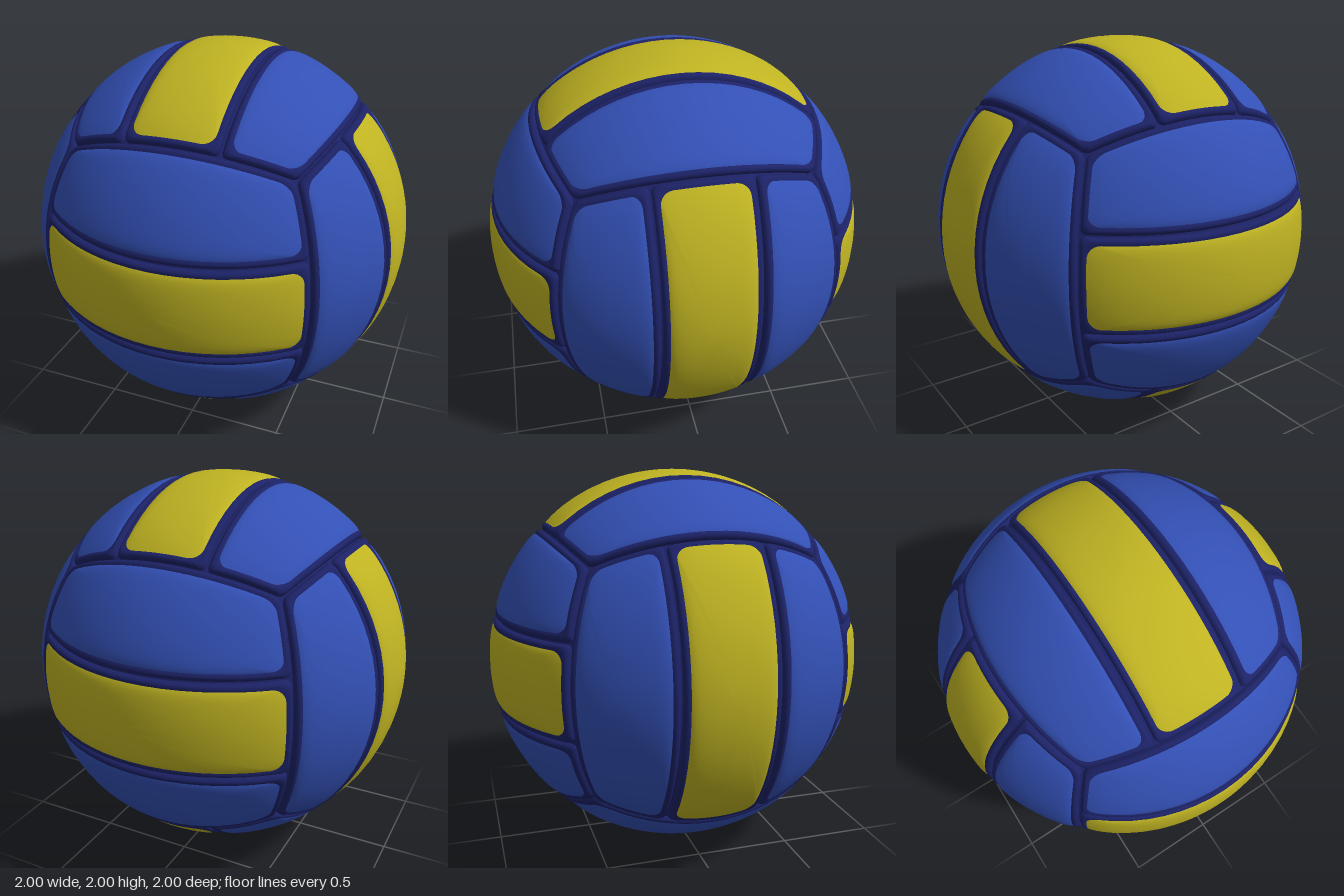
import * as THREE from 'three';

const SEAM = Math.asin(0.245); // latitude of the seams inside a face
const material = (color) => new THREE.MeshStandardMaterial({ color, roughness: 0.7 });

// Rounded rectangle outline, normalised to -1..1, counter-clockwise
function outline(w, h, r) {
  const x = w / 2 - r, y = h / 2 - r, arc = 6, pts = [];
  const corners = [[x, y, 16], [-x, y, 8], [-x, -y, 16], [x, -y, 8]];
  corners.forEach(([cx, cy, side], k) => {
    const at = (i, px, py, q) => {
      const t = (q + i / arc) * Math.PI / 2;
      return new THREE.Vector2(px + r * Math.cos(t), py + r * Math.sin(t));
    };
    for (let i = 0; i <= arc; i++) pts.push(at(i, cx, cy, k));
    const [nx, ny] = corners[(k + 1) % 4];
    const a = at(arc, cx, cy, k), b = at(0, nx, ny, (k + 1) % 4);
    for (let i = 1; i < side; i++) pts.push(a.clone().lerp(b, i / side));
  });
  return pts.map((p) => p.set(p.x * 2 / w, p.y * 2 / h));
}

// Latitude range of a strip (-1, 0, 1) at longitude a; outer strips end on the cube edge
function limits(strip, a) {
  const edge = Math.atan(Math.cos(a));
  if (strip === 0) return [-SEAM, SEAM];
  return strip > 0 ? [SEAM, edge] : [-edge, -SEAM];
}

// Surface through rings given as [inset, scale, radius], lying on the sphere
function panelGeometry(strip, rings) {
  const pos = [], index = [];
  let n = 0;
  rings.forEach(([inset, scale, radius], j) => {
    const pts = outline(1.48 - 2 * inset, 0.48 - 2 * inset, 0.025 + inset * 0.9);
    n = pts.length;
    pts.forEach((p, i) => {
      const s = p.x * scale, t = p.y * scale;
      let a = s * Math.PI / 4, lat = 0;
      for (let pass = 0; pass < 2; pass++) {
        const [lo, hi] = limits(strip, a);
        lat = lo + inset + (t + 1) / 2 * (hi - lo - 2 * inset);
        a = s * (Math.PI / 4 - inset / Math.cos(lat));
      }
      pos.push(radius * Math.cos(lat) * Math.sin(a), radius * Math.sin(lat),
        radius * Math.cos(lat) * Math.cos(a));
      if (j === 0) return;
      const k = (i + 1) % n, p0 = (j - 1) * n, p1 = j * n;
      if (rings[j - 1][1] > 0) index.push(p0 + i, p1 + i, p0 + k);
      index.push(p1 + i, p1 + k, p0 + k);
    });
  });
  const g = new THREE.BufferGeometry();
  g.setAttribute('position', new THREE.Float32BufferAttribute(pos, 3));
  g.setIndex(index);
  g.computeVertexNormals();
  // The middle points coincide, so they share the radial direction
  if (rings[0][1] === 0) {
    const d = new THREE.Vector3(pos[0], pos[1], pos[2]).normalize();
    for (let i = 0; i < n; i++) g.attributes.normal.setXYZ(i, d.x, d.y, d.z);
  }
  return g;
}

export function createModel() {
  const model = new THREE.Group();
  model.name = 'ball';
  const blue = material(0x3350b5), yellow = material(0xbfb322), navy = material(0x1c2266);

  // Inner ball, seen at the bottom of the seams
  const core = new THREE.Mesh(new THREE.SphereGeometry(0.968, 64, 48), navy);
  core.name = 'core';
  core.position.y = 1;
  model.add(core);

  // Slightly domed panel and the rolled border around it
  const INSET = 0.04;
  const dome = [0, 0.12, 0.25, 0.38, 0.5, 0.62, 0.73, 0.82, 0.89, 0.94, 0.98, 1]
    .map((f) => [INSET, f, 1 - 0.009 * f ** 10]);
  const roll = [[0.04, 0.991], [0.034, 0.993], [0.026, 0.995], [0.018, 0.993],
    [0.011, 0.987], [0.006, 0.978], [0.003, 0.962]].map(([d, r]) => [d, 1, r]);
  const strips = [-1, 0, 1].map((strip) => ({
    strip, dome: panelGeometry(strip, dome), roll: panelGeometry(strip, roll),
  }));

  // Six faces; the strip direction turns from axis to axis
  const X = new THREE.Vector3(1, 0, 0), Y = new THREE.Vector3(0, 1, 0), Z = new THREE.Vector3(0, 0, 1);
  const faces = { front: [X, Y, Z, 1], back: [X, Y, Z, -1], left: [Y, Z, X, 1],
    right: [Y, Z, X, -1], top: [Z, X, Y, 1], bottom: [Z, X, Y, -1] };
  for (const [name, [along, across, out, sign]] of Object.entries(faces)) {
    const face = new THREE.Group();
    face.name = name + 'Face';
    const basis = new THREE.Matrix4().makeBasis(along,
      across.clone().multiplyScalar(sign), out.clone().multiplyScalar(sign));
    face.quaternion.setFromRotationMatrix(basis);
    face.position.y = 1;
    for (const s of strips) {
      const panel = new THREE.Mesh(s.dome, s.strip === 0 ? yellow : blue);
      panel.name = s.strip === 0 ? 'middlePanel' : 'outerPanel';
      const border = new THREE.Mesh(s.roll, navy);
      border.name = 'panelBorder';
      face.add(panel, border);
    }
    model.add(face);
  }
  return model;
}
